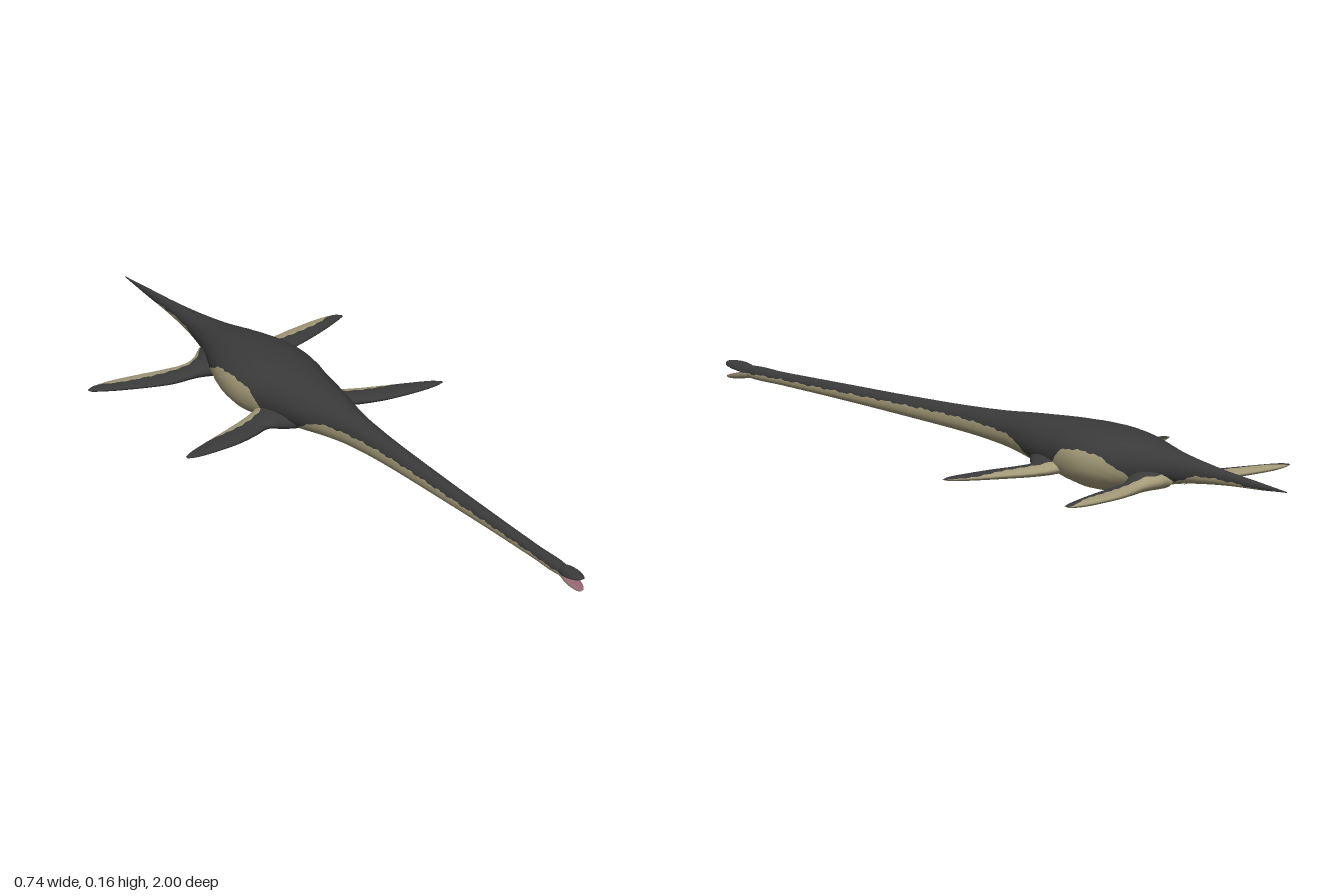
import * as THREE from 'three';

const TAU = Math.PI * 2;
const slate = new THREE.MeshStandardMaterial({ color: 0x3a3a3b, name: 'slate back' });
const sand = new THREE.MeshStandardMaterial({ color: 0xa39a78, name: 'sand belly' });
const pink = new THREE.MeshStandardMaterial({ color: 0x93656f, name: 'mouth pink' });

// Smooth interpolation of table rows; the first column is the position along the part.
function sample(rows, p) {
  let i = 0;
  while (i < rows.length - 2 && p > rows[i + 1][0]) i++;
  const a = rows[i], b = rows[i + 1], h = b[0] - a[0], t = (p - a[0]) / h;
  const before = rows[Math.max(i - 1, 0)], after = rows[Math.min(i + 2, rows.length - 1)];
  return a.map((v, k) => {
    const m0 = (b[k] - before[k]) / (b[0] - before[0]) * h;
    const m1 = (after[k] - v) / (after[0] - a[0]) * h;
    const t2 = t * t, t3 = t2 * t;
    return v * (2 * t3 - 3 * t2 + 1) + m0 * (t3 - 2 * t2 + t) + b[k] * (3 * t2 - 2 * t3) + m1 * (t3 - t2);
  });
}

// Skins rings along a part. ringAt(row) gives the start and end angle of the first
// colour and a point function; the second colour takes the rest of the ring.
function skin(name, rows, steps, ringAt, materials, flip = false) {
  const half = 14, n = half * 2, pos = [], sides = [[], []];
  const first = rows[0][0], last = rows[rows.length - 1][0];
  for (let i = 0; i <= steps; i++) {
    const { from, to, point } = ringAt(sample(rows, first + (last - first) * i / steps));
    for (let j = 0; j < n; j++) {
      const angle = j < half ? from + (to - from) * j / half
        : to + (from + TAU - to) * (j - half) / half;
      pos.push(...point(angle));
    }
  }
  for (let i = 0; i < steps; i++) {
    for (let j = 0; j < n; j++) {
      const a = i * n + j, d = i * n + (j + 1) % n, b = a + n, c = d + n;
      sides[j < half ? 0 : 1].push(...(flip ? [a, d, b, d, c, b] : [a, b, d, d, b, c]));
    }
  }
  const geo = new THREE.BufferGeometry();
  geo.setAttribute('position', new THREE.Float32BufferAttribute(pos, 3));
  geo.setIndex([...sides[0], ...sides[1]]);
  geo.addGroup(0, sides[0].length, 0);
  geo.addGroup(sides[0].length, sides[1].length, 1);
  geo.computeVertexNormals();
  const mesh = new THREE.Mesh(geo, materials);
  mesh.name = name;
  return mesh;
}

// Cross-section of trunk and jaws: row = z, half width, top, widest height, bottom, colour line
const trunkRing = (ragged) => ([z, w, top, mid, bottom, line]) => {
  const edge = line + ragged * (Math.sin(z * 97) + Math.sin(z * 223 + 1));
  const t = edge > mid ? (edge - mid) / (top - mid) : (edge - mid) / (mid - bottom);
  const c = THREE.MathUtils.clamp(Math.sign(t) * Math.abs(t) ** (t < 0 ? 1.18 : 1), -0.97, 0.9);
  const split = Math.acos(c);
  return {
    from: -split, to: split,
    point: (a) => {
      const s = Math.sin(a), k = Math.cos(a);
      if (k >= 0) return [w * s, mid + (top - mid) * k, z];
      return [w * Math.sign(s) * Math.abs(s) ** 0.85, mid - (mid - bottom) * (-k) ** 0.85, z];
    },
  };
};

// Cross-section of a flipper: row = x, rear z, front z, height, half thickness, rear pale share
const flipperRing = (side) => ([x, rear, front, y, thick, pale]) => {
  const share = THREE.MathUtils.clamp(pale + 0.03 * Math.sin(x * 190), 0.02, 0.7);
  return {
    from: -0.6, to: Math.acos(2 * share - 1),
    point: (a) => [side * x, y + thick * Math.sin(a), (rear + front) / 2 + (front - rear) / 2 * Math.cos(a)],
  };
};

const trunk = [
  [-1, 0.001, 0.091, 0.09, 0.089, 0.0895],
  [-0.9, 0.007, 0.1, 0.09, 0.081, 0.083],
  [-0.8, 0.014, 0.108, 0.092, 0.075, 0.088],
  [-0.7, 0.025, 0.119, 0.092, 0.065, 0.086],
  [-0.62, 0.041, 0.13, 0.09, 0.053, 0.06],
  [-0.55, 0.066, 0.141, 0.087, 0.036, 0.048],
  [-0.5, 0.086, 0.149, 0.085, 0.022, 0.075],
  [-0.44, 0.105, 0.156, 0.085, 0.009, 0.105],
  [-0.37, 0.114, 0.16, 0.085, 0.003, 0.112],
  [-0.3, 0.106, 0.16, 0.085, 0.009, 0.1],
  [-0.25, 0.094, 0.158, 0.085, 0.017, 0.055],
  [-0.2, 0.084, 0.155, 0.086, 0.026, 0.045],
  [-0.14, 0.073, 0.15, 0.088, 0.036, 0.06],
  [-0.08, 0.058, 0.145, 0.092, 0.045, 0.09],
  [0, 0.041, 0.137, 0.094, 0.054, 0.098],
  [0.1, 0.032, 0.13, 0.095, 0.061, 0.102],
  [0.2, 0.027, 0.125, 0.095, 0.065, 0.103],
  [0.4, 0.022, 0.118, 0.094, 0.07, 0.1],
  [0.6, 0.018, 0.113, 0.093, 0.074, 0.096],
  [0.8, 0.016, 0.108, 0.092, 0.076, 0.093],
  [0.91, 0.016, 0.107, 0.091, 0.077, 0.091],
  [0.94, 0.002, 0.092, 0.09, 0.088, 0.09],
];
const upperJaw = [
  [0.9, 0.011, 0.104, 0.091, 0.089, 0.09],
  [0.93, 0.018, 0.111, 0.091, 0.089, 0.09],
  [0.955, 0.02, 0.112, 0.094, 0.092, 0.093],
  [0.98, 0.016, 0.11, 0.097, 0.095, 0.096],
  [0.995, 0.009, 0.107, 0.1, 0.098, 0.099],
  [1, 0.001, 0.103, 0.102, 0.101, 0.1015],
];
const lowerJaw = [
  [0.9, 0.011, 0.092, 0.09, 0.079, 0.0895],
  [0.93, 0.017, 0.091, 0.089, 0.073, 0.0885],
  [0.955, 0.018, 0.084, 0.082, 0.068, 0.0815],
  [0.98, 0.014, 0.077, 0.075, 0.066, 0.0745],
  [0.992, 0.008, 0.073, 0.071, 0.066, 0.0705],
  [0.997, 0.001, 0.07, 0.069, 0.068, 0.0685],
];
const frontFlipper = [
  [0.04, -0.32, -0.13, 0.067, 0.034, 0],
  [0.08, -0.3, -0.168, 0.054, 0.023, 0.15],
  [0.11, -0.284, -0.2, 0.047, 0.016, 0.35],
  [0.16, -0.265, -0.188, 0.044, 0.013, 0.4],
  [0.22, -0.242, -0.173, 0.044, 0.011, 0.3],
  [0.3, -0.212, -0.165, 0.045, 0.008, 0.05],
  [0.35, -0.191, -0.165, 0.046, 0.005, 0],
  [0.372, -0.178, -0.17, 0.046, 0.001, 0],
];
const hindFlipper = [
  [0.03, -0.625, -0.47, 0.067, 0.032, 0],
  [0.08, -0.59, -0.515, 0.053, 0.02, 0.25],
  [0.11, -0.59, -0.528, 0.047, 0.015, 0.4],
  [0.165, -0.603, -0.532, 0.044, 0.012, 0.45],
  [0.22, -0.614, -0.545, 0.044, 0.01, 0.5],
  [0.3, -0.623, -0.573, 0.045, 0.008, 0.5],
  [0.35, -0.62, -0.594, 0.046, 0.005, 0.1],
  [0.369, -0.612, -0.603, 0.046, 0.001, 0],
];

export function createModel() {
  const model = new THREE.Group();
  model.name = 'longNeckedSeaReptile';

  // Tail, trunk and neck in one smooth skin
  model.add(skin('body', trunk, 220, trunkRing(0.0015), [slate, sand]));

  // Open jaws with pink inner faces
  const head = new THREE.Group();
  head.name = 'head';
  head.add(skin('upperJaw', upperJaw, 24, trunkRing(0), [slate, pink]));
  head.add(skin('lowerJaw', lowerJaw, 24, trunkRing(0), [pink, sand]));
  model.add(head);

  // Two mirrored pairs of flippers
  for (const side of [1, -1]) {
    const label = side > 0 ? 'left' : 'right';
    model.add(skin(label + 'FrontFlipper', frontFlipper, 48, flipperRing(side), [slate, sand], side < 0));
    model.add(skin(label + 'HindFlipper', hindFlipper, 48, flipperRing(side), [slate, sand], side < 0));
  }
  return model;
}
